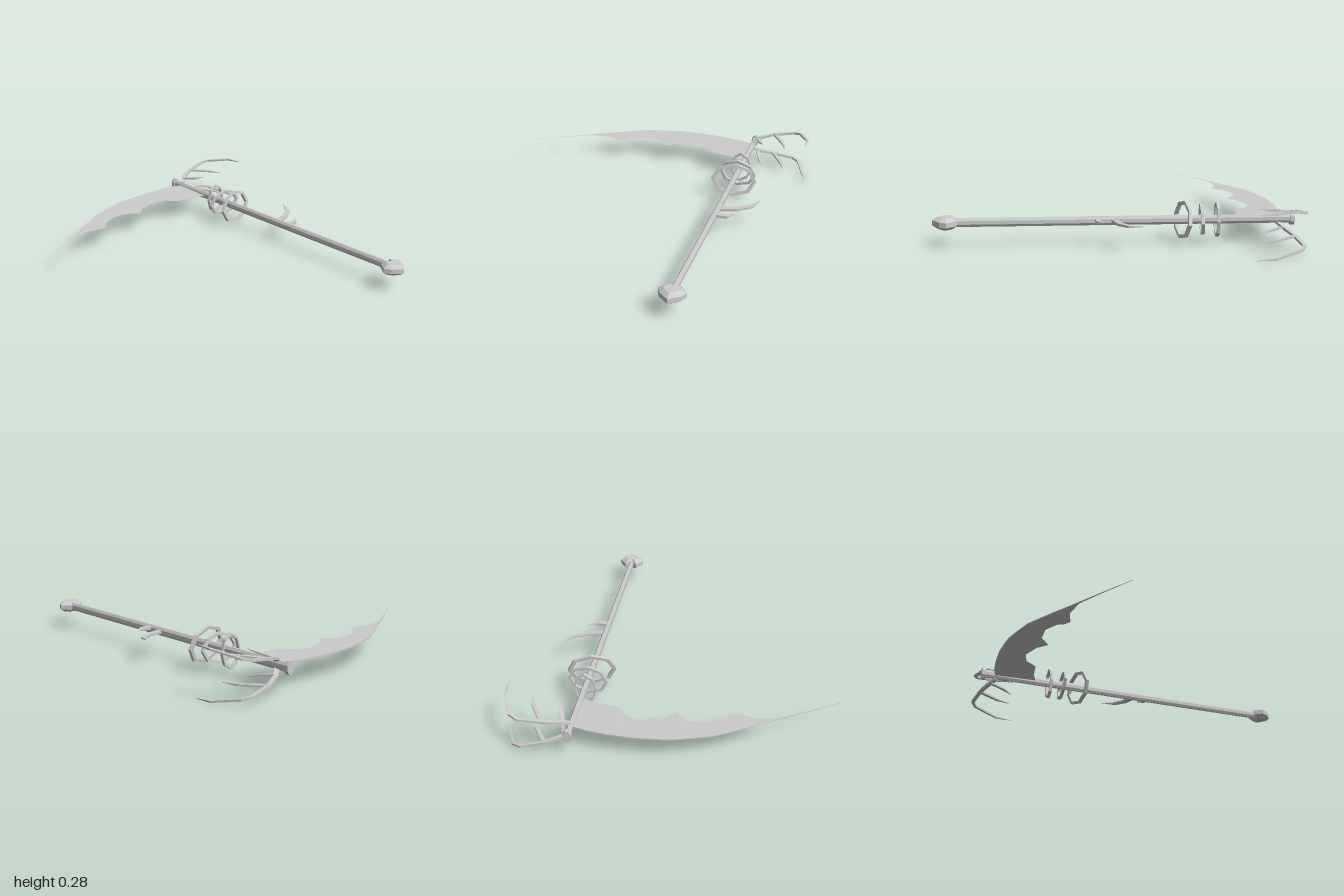
import * as THREE from 'three';

const CX = 0.516, CY = 0.142; // shaft axis

const material = new THREE.MeshStandardMaterial({ color: 0xcccccc, flatShading: true });

function addMesh(parent, name, geometry) {
  const mesh = new THREE.Mesh(geometry, material);
  mesh.name = name;
  parent.add(mesh);
  return mesh;
}

// Skin a row of equal closed cross-sections and close both ends
function loft(rings) {
  const n = rings[0].length, pos = [], index = [];
  rings.forEach(r => r.forEach(p => pos.push(...p)));
  for (let j = 0; j < rings.length - 1; j++) {
    for (let i = 0; i < n; i++) {
      const a = j * n + i, b = j * n + (i + 1) % n;
      index.push(a, b, b + n, a, b + n, a + n);
    }
  }
  [0, rings.length - 1].forEach((j, end) => {
    const c = pos.length / 3;
    pos.push(...[0, 1, 2].map(k => rings[j].reduce((s, p) => s + p[k], 0) / n));
    for (let i = 0; i < n; i++) {
      const a = j * n + i, b = j * n + (i + 1) % n;
      if (end) index.push(c, a, b); else index.push(c, b, a);
    }
  });
  const g = new THREE.BufferGeometry();
  g.setAttribute('position', new THREE.Float32BufferAttribute(pos, 3));
  g.setIndex(index);
  g.computeVertexNormals();
  return g;
}

// Tapered four-sided spike; stations are [x, y, z, halfWidth, halfHeight]
function spike(stations) {
  return loft(stations.map(([x, y, z, w, h], i) => {
    const p = stations[Math.max(i - 1, 0)], q = stations[Math.min(i + 1, stations.length - 1)];
    const tx = q[0] - p[0], tz = q[2] - p[2], l = Math.hypot(tx, tz);
    const sx = tz / l * w, sz = -tx / l * w;
    return [[x + sx, y + h, z + sz], [x - sx, y + h, z - sz],
      [x - sx, y - h, z - sz], [x + sx, y - h, z + sz]];
  }));
}

// Faceted oval band with a square section
function band(rx, ry, width) {
  const r = 0.84, h = width / 2;
  const profile = [[1, -h], [1, h], [r, h], [r, -h], [1, -h]].map(p => new THREE.Vector2(...p));
  return new THREE.LatheGeometry(profile, 8).rotateX(Math.PI / 2).scale(rx, ry, 1);
}

export function createModel() {
  const model = new THREE.Group();
  model.name = 'scythe';

  // Shaft and end cap, slightly taller than wide
  const rod = (name, rx, ry, z0, z1) => addMesh(model, name,
    new THREE.CylinderGeometry(1, 1, z1 - z0, 8).rotateY(Math.PI / 8).rotateX(Math.PI / 2)
      .scale(rx, ry, 1).translate(CX, CY, (z0 + z1) / 2));
  rod('shaft', 0.016, 0.026, -0.985, 0.9);
  rod('endCap', 0.024, 0.038, -0.993, -0.968);

  // Heart-shaped pommel with bevelled faces
  const half = [[0.058, 0.947], [0.077, 0.908], [0.036, 0.857]];
  const heart = [[0, 0.993], ...half, [0, 0.884], ...half.map(([x, z]) => [-x, z]).reverse()];
  const layers = [[-0.033, 0.6], [-0.014, 1], [0.014, 1], [0.033, 0.6]];
  addMesh(model, 'pommel', loft(layers.map(([y, s]) =>
    heart.map(([x, z]) => [CX + x * s, CY + y, 0.92 + (z - 0.92) * s]))));

  // Blade: wedge sections given as [edge x, edge z, spine x, spine z]
  const sections = [
    [0.51, -0.655, 0.51, -0.908], [0.415, -0.688, 0.43, -0.932], [0.294, -0.709, 0.32, -0.947],
    [0.24, -0.778, 0.25, -0.953], [0.156, -0.804, 0.167, -0.958], [0.045, -0.767, 0.06, -0.953],
    [-0.019, -0.714, -0.013, -0.947], [-0.093, -0.772, -0.1, -0.927], [-0.198, -0.78, -0.235, -0.89],
    [-0.283, -0.735, -0.31, -0.85], [-0.304, -0.7, -0.35, -0.828], [-0.341, -0.677, -0.42, -0.79],
    [-0.44, -0.709, -0.5, -0.743], [-0.563, -0.693, -0.58, -0.698], [-0.664, -0.642, -0.67, -0.648],
    [-0.897, -0.513, -0.899, -0.515],
  ];
  addMesh(model, 'blade', loft(sections.map(([ex, ez, sx, sz], i) => {
    const t = 0.006 * (1 - 0.85 * i / (sections.length - 1));
    const y = CY - 0.004 * i / (sections.length - 1);
    return [[ex, y, ez], [sx, y + t, sz], [sx, y - t, sz]];
  })));

  // Tilted bands around the shaft: [rx, ry, z, tilt x, tilt y]
  [[0.14, 0.105, -0.375, -0.14, 0.17], [0.118, 0.087, -0.48, 0.05, -0.08], [0.066, 0.1, -0.565, 0, 0]]
    .forEach(([rx, ry, z, ax, ay], i) => {
      const ring = addMesh(model, 'band' + (i + 1), band(rx, ry, 0.018));
      ring.position.set(CX, CY, z);
      ring.rotation.set(ax, ay, 0);
    });

  // Branching claws, mirrored above and below the shaft
  const claw = {
    clawArm: [[0.515, 0.02, -0.9, 0.014, 0.008], [0.56, 0.048, -0.935, 0.012, 0.008],
      [0.643, 0.068, -0.968, 0.01, 0.007], [0.775, 0.09, -0.988, 0.01, 0.006],
      [0.82, 0.1, -0.963, 0.01, 0.006], [0.884, 0.13, -0.815, 0.008, 0.005],
      [0.886, 0.137, -0.71, 0.001, 0.001]],
    innerTine: [[0.548, 0.042, -0.925, 0.011, 0.006], [0.58, 0.058, -0.835, 0.01, 0.005],
      [0.606, 0.074, -0.78, 0.001, 0.001]],
    outerTine: [[0.65, 0.068, -0.968, 0.012, 0.006], [0.728, 0.073, -0.84, 0.01, 0.005],
      [0.755, 0.074, -0.757, 0.001, 0.001]],
  };
  for (const side of [1, -1]) {
    const group = new THREE.Group();
    group.name = side > 0 ? 'upperClaw' : 'lowerClaw';
    for (const [name, stations] of Object.entries(claw)) {
      addMesh(group, name, spike(stations.map(([x, y, z, w, h]) => [x, CY + side * y, z, w, h])));
    }
    model.add(group);
  }

  // Two curved thorns on the middle of the shaft
  addMesh(model, 'longThorn', spike([[0.52, 0.142, 0.004, 0.018, 0.009], [0.625, 0.145, -0.022, 0.016, 0.007],
    [0.7, 0.151, -0.07, 0.014, 0.005], [0.738, 0.159, -0.143, 0.001, 0.001]]));
  addMesh(model, 'shortThorn', spike([[0.52, 0.15, 0.094, 0.017, 0.01], [0.59, 0.15, 0.093, 0.013, 0.008],
    [0.627, 0.154, 0.063, 0.001, 0.001]]));

  return model;
}
